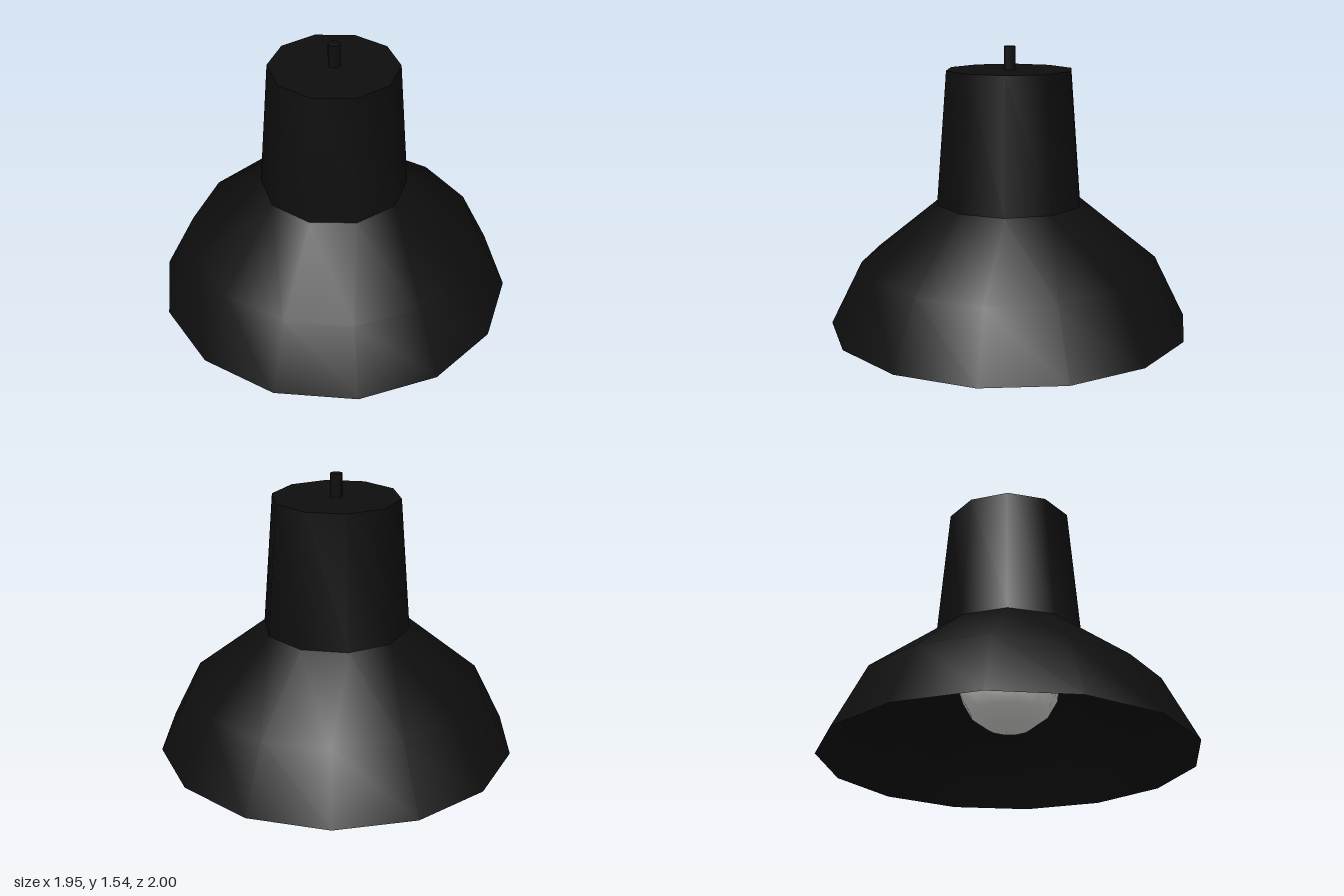
import * as THREE from 'three';
import { toCreasedNormals } from 'three/addons/utils/BufferGeometryUtils.js';

// Joins rings given as [sides, radius, height], bottom to top; side counts may differ.
function loftRings(rings) {
  const positions = [], index = [], starts = [];
  for (const [n, r, y] of rings) {
    starts.push(positions.length / 3);
    for (let i = 0; i < n; i++) {
      const a = (i / n) * Math.PI * 2;
      positions.push(r * Math.sin(a), y, r * Math.cos(a));
    }
  }
  for (let k = 0; k < rings.length - 1; k++) {
    const n = rings[k][0], m = rings[k + 1][0];
    const low = (i) => starts[k] + (i % n);
    const high = (j) => starts[k + 1] + (j % m);
    let i = 0, j = 0;
    while (i < n || j < m) {
      // step along whichever ring lags behind in angle
      if (j >= m || (i < n && (i + 1) / n <= (j + 1) / m)) {
        index.push(low(i), low(i + 1), high(j));
        i++;
      } else {
        index.push(low(i), high(j + 1), high(j));
        j++;
      }
    }
  }
  const geometry = new THREE.BufferGeometry();
  geometry.setAttribute('position', new THREE.Float32BufferAttribute(positions, 3));
  geometry.setIndex(index);
  return toCreasedNormals(geometry, 0.7);
}

export function createModel() {
  const group = new THREE.Group();
  group.name = 'pendantLamp';

  const black = new THREE.MeshStandardMaterial({ color: 0x0e0e0e, side: THREE.DoubleSide });
  black.name = 'black enamel';
  const white = new THREE.MeshStandardMaterial({ color: 0xe2e2de });
  white.name = 'bulb white';

  const add = (name, geometry, material, y = 0) => {
    const mesh = new THREE.Mesh(geometry, material);
    mesh.name = name;
    mesh.position.y = y;
    group.add(mesh);
  };

  // Open shade: fourteen-sided skirt blending into a ten-sided neck
  add('shade', loftRings([[14, 1, 0], [14, 0.825, 0.35], [10, 0.408, 0.685]]), black);
  add('neck', loftRings([[10, 0.408, 0.685], [10, 0.349, 1.415]]), black);

  // Lid closing the neck
  const lid = new THREE.CircleGeometry(0.349, 10, Math.PI / 2);
  lid.rotateX(-Math.PI / 2);
  add('neckLid', lid, black, 1.415);

  // Cord stub on top
  add('cordStub', new THREE.CylinderGeometry(0.034, 0.034, 0.14, 8), black, 1.47);

  // Bulb hanging inside the shade, with its stem running up into the neck
  const profile = [
    [0, 0.15], [0.12, 0.177], [0.21, 0.245], [0.267, 0.345], [0.28, 0.43],
    [0.262, 0.53], [0.2, 0.63], [0.13, 0.73], [0.11, 0.85], [0, 0.85],
  ].map(([r, y]) => new THREE.Vector2(r, y));
  add('bulb', new THREE.LatheGeometry(profile, 12), white);

  return group;
}
